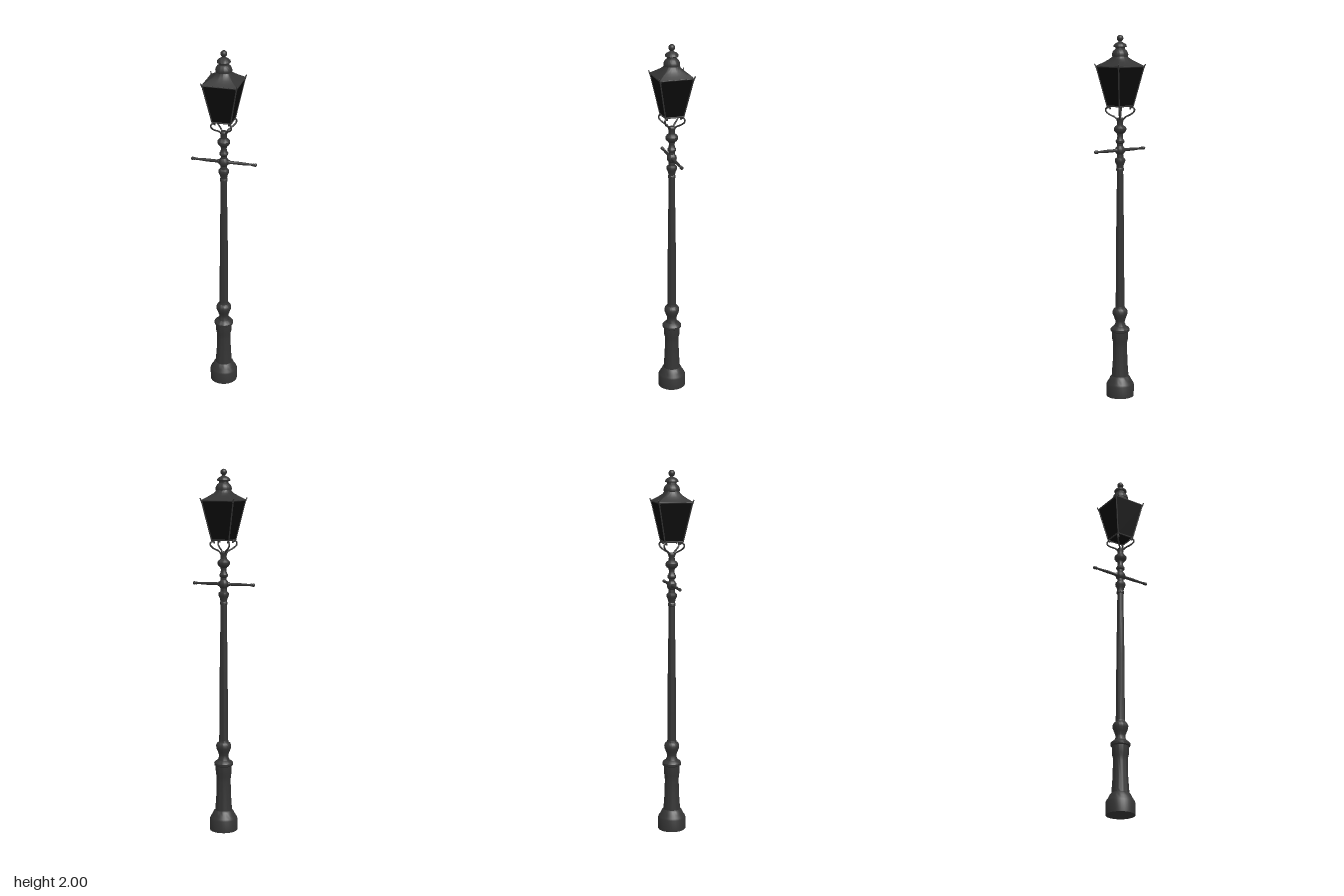
import * as THREE from 'three';
import { toCreasedNormals } from 'three/addons/utils/BufferGeometryUtils.js';

const iron = new THREE.MeshStandardMaterial({ color: 0x343434 });
iron.name = 'cast iron';
const darkGlass = new THREE.MeshStandardMaterial({ color: 0x0b0b0b });
darkGlass.name = 'dark glass';

const V = (x, y, z) => new THREE.Vector3(x, y, z);

function add(parent, name, geometry, material = iron) {
  const mesh = new THREE.Mesh(geometry, material);
  mesh.name = name;
  parent.add(mesh);
  return mesh;
}

// Turned part from [radius, height] pairs, bottom to top
function turned(profile, crease = 0.6) {
  const pts = profile.map(([r, y]) => new THREE.Vector2(r, y));
  return toCreasedNormals(new THREE.LatheGeometry(pts, 36), crease);
}

// Round bar between two points
function bar(a, b, r0, r1 = r0) {
  const dir = b.clone().sub(a);
  const g = new THREE.CylinderGeometry(r1, r0, dir.length(), 10);
  g.applyQuaternion(new THREE.Quaternion().setFromUnitVectors(V(0, 1, 0), dir.normalize()));
  const m = a.clone().add(b).multiplyScalar(0.5);
  return g.translate(m.x, m.y, m.z);
}

// Roof skin that blends from a square eave to a round neck; rings are [half size, height, roundness]
function roofGeometry(rings, n = 48) {
  const pos = [], index = [];
  rings.forEach(([s, y, round]) => {
    for (let i = 0; i < n; i++) {
      const a = (i / n) * Math.PI * 2;
      const c = Math.cos(a), d = Math.sin(a);
      const k = s * THREE.MathUtils.lerp(1 / Math.max(Math.abs(c), Math.abs(d)), 1, round);
      pos.push(c * k, y, d * k);
    }
  });
  for (let j = 0; j < rings.length - 1; j++) {
    for (let i = 0; i < n; i++) {
      const a = j * n + i, b = j * n + (i + 1) % n;
      index.push(a, a + n, b, b, a + n, b + n);
    }
  }
  const g = new THREE.BufferGeometry();
  g.setAttribute('position', new THREE.Float32BufferAttribute(pos, 3));
  g.setIndex(index);
  return toCreasedNormals(g, 0.7);
}

export function createModel() {
  const model = new THREE.Group();
  model.name = 'streetLamp';

  // Pedestal
  add(model, 'pedestal', turned([
    [0, 0], [0.077, 0], [0.077, 0.065], [0.073, 0.075], [0.063, 0.09], [0.055, 0.108], [0.047, 0.115],
    [0.046, 0.13], [0.041, 0.2], [0.039, 0.28], [0.04, 0.31], [0.044, 0.325], [0.045, 0.368],
    [0.052, 0.373], [0.053, 0.385], [0.047, 0.393], [0.033, 0.402], [0.026, 0.42], [0.026, 0.43],
    [0.033, 0.45], [0.041, 0.47], [0.042, 0.485], [0.037, 0.497], [0.027, 0.505], [0.025, 0.515],
  ]));

  // Tapering shaft
  add(model, 'shaft', turned([[0.025, 0.51], [0.023, 0.68], [0.022, 0.9], [0.019, 1.1], [0.017, 1.275]]));

  // Turned mouldings at the top of the post
  add(model, 'postMouldings', turned([
    [0.017, 1.27], [0.021, 1.272], [0.021, 1.283], [0.018, 1.288], [0.02, 1.303], [0.027, 1.318],
    [0.029, 1.328], [0.027, 1.336], [0.018, 1.343], [0.017, 1.36], [0.024, 1.37], [0.027, 1.383],
    [0.024, 1.396], [0.016, 1.406], [0.016, 1.418], [0.023, 1.425], [0.024, 1.434], [0.017, 1.445],
    [0.015, 1.46], [0.017, 1.472], [0.028, 1.482], [0.034, 1.492], [0.034, 1.503], [0.027, 1.512],
    [0.017, 1.519], [0.016, 1.535], [0.019, 1.545], [0.019, 1.553], [0.014, 1.559], [0, 1.561],
  ]));

  // Ladder rest with knobbed ends
  const ladderRest = new THREE.Group();
  ladderRest.name = 'ladderRest';
  ladderRest.position.y = 1.383;
  model.add(ladderRest);
  const arm = turned([
    [0.011, 0.015], [0.012, 0.03], [0.008, 0.037], [0.0085, 0.09], [0.0055, 0.156], [0.0085, 0.158],
    [0.0085, 0.163], [0.006, 0.166], [0.009, 0.17], [0.009, 0.175], [0.006, 0.18], [0, 0.181],
  ]);
  for (const s of [1, -1]) add(ladderRest, s > 0 ? 'leftArm' : 'rightArm', arm).rotation.z = -s * Math.PI / 2;

  // Lantern body
  const lantern = new THREE.Group();
  lantern.name = 'lantern';
  model.add(lantern);
  const y0 = 1.622, y1 = 1.832, h0 = 0.05, h1 = 0.091;
  const glass = new THREE.CylinderGeometry(h1 * Math.SQRT2, h0 * Math.SQRT2, y1 - y0, 4).toNonIndexed();
  glass.computeVertexNormals();
  glass.rotateY(Math.PI / 4).translate(0, (y0 + y1) / 2, 0);
  add(lantern, 'glassPanes', glass, darkGlass);

  // Frame, corner horns and scrolled brackets, once for each corner
  const scroll = new THREE.CatmullRomCurve3([
    [0.012, 1.55], [0.02, 1.562], [0.042, 1.578], [0.054, 1.594], [0.054, 1.608],
    [0.046, 1.616], [0.038, 1.611], [0.039, 1.604],
  ].map(([h, y]) => V(h, y, h)));
  for (let i = 0; i < 4; i++) {
    const corner = new THREE.Group();
    corner.name = 'lanternCorner';
    corner.rotation.y = i * Math.PI / 2;
    lantern.add(corner);
    add(corner, 'cornerBar', bar(V(h0, y0, h0), V(h1, y1, h1), 0.0035));
    add(corner, 'topRail', bar(V(-h1, y1, h1), V(h1, y1, h1), 0.004));
    add(corner, 'bottomRail', bar(V(-h0, y0, h0), V(h0, y0, h0), 0.004));
    add(corner, 'horn', bar(V(0.088, 1.822, 0.088), V(0.096, 1.844, 0.096), 0.005, 0.003));
    add(corner, 'hornTip', new THREE.SphereGeometry(0.0035, 10, 8).translate(0.096, 1.844, 0.096));
    add(corner, 'bracket', new THREE.TubeGeometry(scroll, 32, 0.0045, 8));
    add(corner, 'foot', bar(V(0.044, 1.61, 0.044), V(0.048, 1.626, 0.048), 0.005));
  }

  // Roof
  add(lantern, 'roof', roofGeometry([
    [0.088, 1.828, 0], [0.094, 1.83, 0], [0.094, 1.835, 0], [0.078, 1.846, 0.05],
    [0.063, 1.858, 0.2], [0.051, 1.87, 0.5], [0.043, 1.882, 0.9], [0.04, 1.89, 1],
  ]));

  // Two-tier vent cap and finial
  add(lantern, 'ventCap', turned([
    [0.038, 1.885], [0.043, 1.888], [0.044, 1.897], [0.041, 1.908], [0.035, 1.918], [0.026, 1.925],
    [0.025, 1.934], [0.034, 1.936], [0.036, 1.94], [0.034, 1.947], [0.026, 1.955], [0.014, 1.961],
    [0.008, 1.965], [0.008, 1.972],
  ]));
  add(lantern, 'finial', new THREE.SphereGeometry(0.0175, 24, 16).translate(0, 1.9825, 0));

  return model;
}
